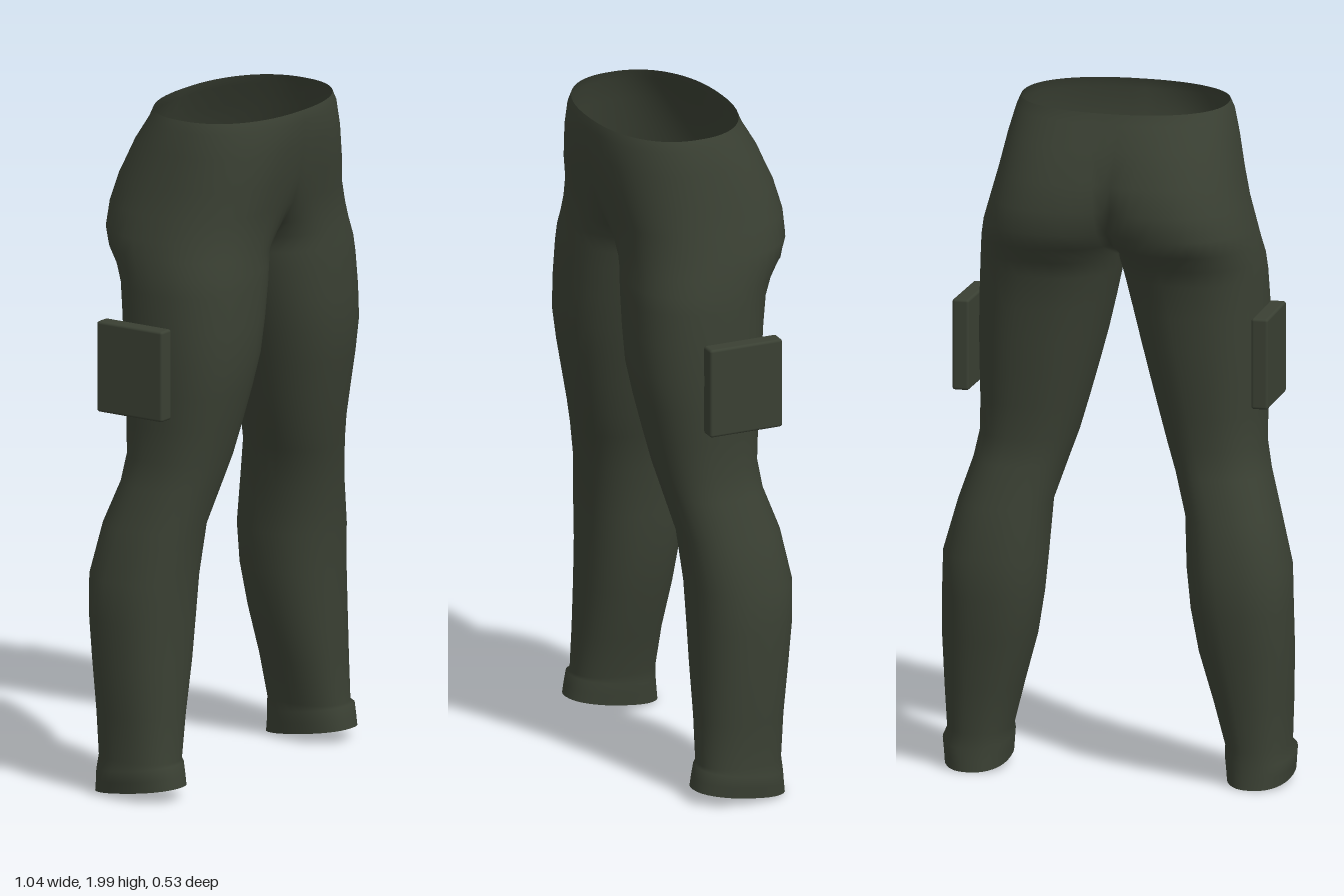
import * as THREE from 'three';
import { mergeVertices } from 'three/addons/utils/BufferGeometryUtils.js';
import { RoundedBoxGeometry } from 'three/addons/geometries/RoundedBoxGeometry.js';

// Sections of one trouser half, waist to hem: [y, inner x, outer x, front z, back z, front fill].
// A negative inner x means the half is cut at x = 0 and joins the other half there.
const PELVIS = [
  [2.0, -0.305, 0.305, 0.255, -0.17, 1],
  [1.97, -0.3, 0.318, 0.263, -0.18, 1],
  [1.9, -0.22, 0.335, 0.26, -0.215, 1],
  [1.8, -0.13, 0.355, 0.246, -0.25, 1],
  [1.72, -0.085, 0.375, 0.228, -0.265, 0.85],
  [1.65, -0.05, 0.395, 0.222, -0.262, 0.4],
  [1.6, -0.022, 0.405, 0.224, -0.24, 0],
];
const LEG = [
  [1.55, 0, 0.415, 0.228, -0.2, 0],
  [1.5, 0.01, 0.42, 0.23, -0.18, 0],
  [1.4, 0.033, 0.425, 0.232, -0.166, 0],
  [1.3, 0.057, 0.427, 0.23, -0.158, 0],
  [1.2, 0.083, 0.425, 0.213, -0.148, 0],
  [1.1, 0.11, 0.422, 0.192, -0.138, 0],
  [1.0, 0.138, 0.422, 0.17, -0.13, 0],
  [0.92, 0.165, 0.438, 0.15, -0.138, 0],
  [0.8, 0.203, 0.475, 0.122, -0.175, 0],
  [0.65, 0.212, 0.515, 0.107, -0.2, 0],
  [0.53, 0.224, 0.518, 0.102, -0.197, 0],
  [0.4, 0.246, 0.52, 0.1, -0.18, 0],
  [0.25, 0.288, 0.515, 0.1, -0.16, 0],
  [0.12, 0.322, 0.508, 0.104, -0.15, 0],
  [0.095, 0.32, 0.522, 0.112, -0.152, 0],
  [0.06, 0.324, 0.518, 0.12, -0.156, 0],
  [0.028, 0.327, 0.515, 0.126, -0.16, 0],
];
const SEGMENTS = 32;
const ROUNDNESS = 0.88;
const power = (v) => Math.sign(v) * Math.abs(v) ** ROUNDNESS;

// Points around one section, from the inner back over the outside to the inner front
function sectionPoints([y, xIn, xOut, zFront, zBack, fill]) {
  const cx = (xIn + xOut) / 2, rx = (xOut - xIn) / 2;
  const cz = (zFront + zBack) / 2, rz = (zFront - zBack) / 2;
  const end = xIn < 0 ? Math.acos(-((cx / rx) ** (1 / ROUNDNESS))) : Math.PI;
  const tilt = y < 0.1 ? 0.14 : 0;
  const points = [];
  for (let j = 0; j <= SEGMENTS; j++) {
    const t = end * (2 * j / SEGMENTS - 1);
    const joined = xIn <= 0 && (j === 0 || j === SEGMENTS);
    let s = power(Math.sin(t));
    if (t > 0 && Math.cos(t) < 0) s = THREE.MathUtils.lerp(s, 1, fill);
    const z = cz + rz * s;
    points.push([joined ? 0 : cx + rx * power(Math.cos(t)), y + tilt * (z - cz), z]);
  }
  return points;
}

// Both halves are lofted together so that the centre seam is welded and smooth
function trouserGeometry() {
  const rows = [...PELVIS, ...LEG].map(sectionPoints);
  const positions = [], index = [];
  const stride = SEGMENTS + 1;
  for (const side of [1, -1]) {
    const base = positions.length / 3;
    rows.flat().forEach(([x, y, z]) => positions.push(side * x, y, z));
    for (let i = 0; i < rows.length - 1; i++) {
      for (let j = 0; j < SEGMENTS; j++) {
        const a = base + i * stride + j, b = a + 1, c = a + stride, d = c + 1;
        if (side > 0) index.push(a, b, c, b, d, c);
        else index.push(a, c, b, b, c, d);
      }
    }
  }
  let geometry = new THREE.BufferGeometry();
  geometry.setAttribute('position', new THREE.Float32BufferAttribute(positions, 3));
  geometry.setIndex(index);
  geometry = mergeVertices(geometry, 1e-4);
  geometry.computeVertexNormals();
  return geometry;
}

export function createModel() {
  const model = new THREE.Group();
  model.name = 'trousers';
  const cloth = new THREE.MeshStandardMaterial({ color: 0x3a4033, side: THREE.DoubleSide });
  cloth.name = 'dark olive cloth';

  const body = new THREE.Mesh(trouserGeometry(), cloth);
  body.name = 'waistAndLegs';
  model.add(body);

  // Flat cargo pockets on the outer thighs
  for (const [side, name] of [[1, 'leftPocket'], [-1, 'rightPocket']]) {
    const pocket = new THREE.Mesh(new RoundedBoxGeometry(0.05, 0.27, 0.23, 2, 0.008), cloth);
    pocket.name = name;
    pocket.position.set(side * 0.444, 1.275, -0.025);
    pocket.rotation.y = side * -0.02;
    model.add(pocket);
  }
  return model;
}
